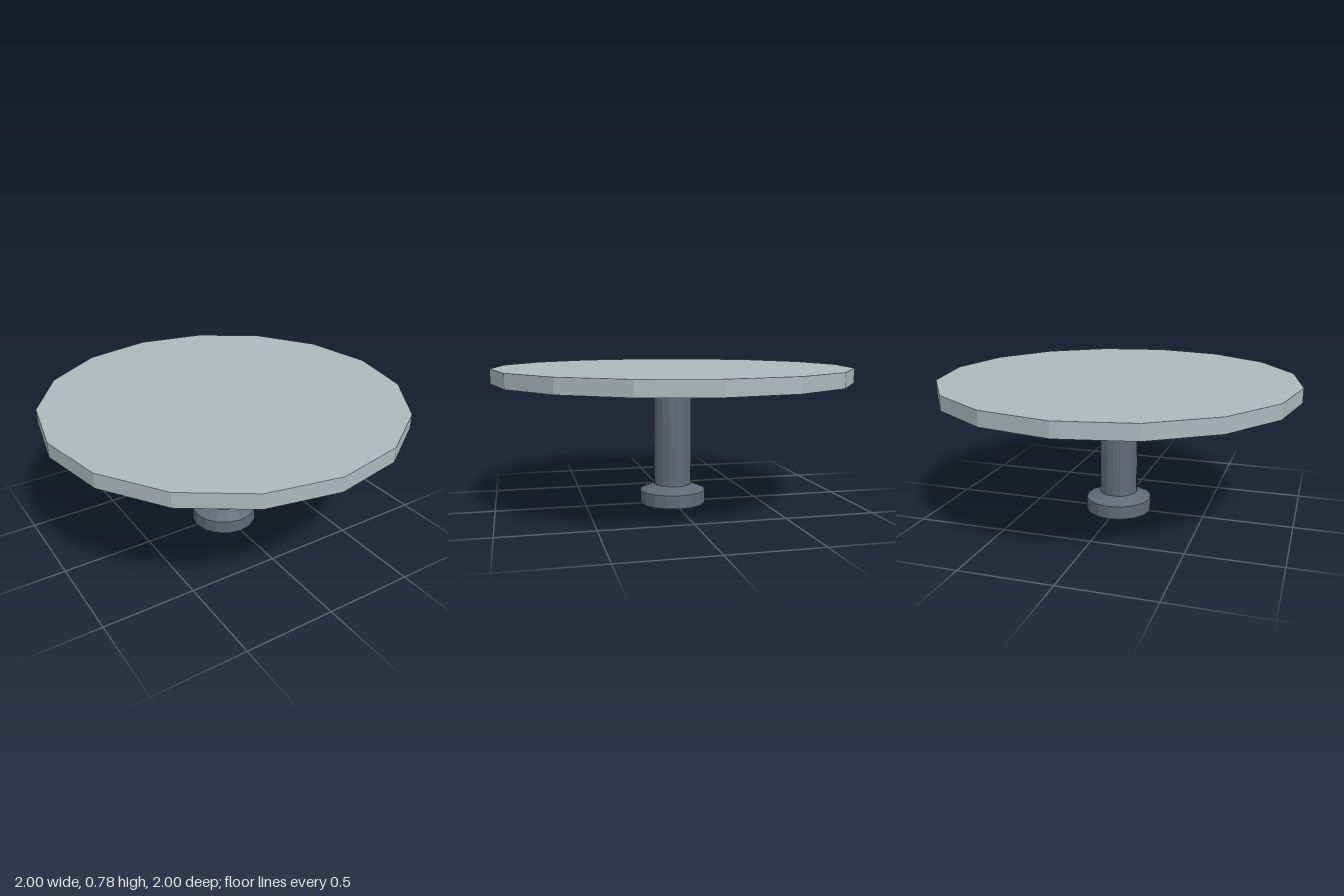
import * as THREE from 'three';

const SIDES = 16;

export function createModel() {
  const model = new THREE.Group();
  model.name = 'pedestalTable';

  const topMaterial = new THREE.MeshStandardMaterial({ color: 0xb0b8bb, flatShading: true });
  topMaterial.name = 'pale grey';
  const metalMaterial = new THREE.MeshStandardMaterial({ color: 0x636876, flatShading: true });
  metalMaterial.name = 'slate grey';

  // One faceted, tapered section between two heights
  const addSection = (name, rBottom, rTop, y0, y1, material, open = false) => {
    const geometry = new THREE.CylinderGeometry(rTop, rBottom, y1 - y0, SIDES, 1, open);
    const mesh = new THREE.Mesh(geometry, material);
    mesh.position.y = (y0 + y1) / 2;
    mesh.name = name;
    model.add(mesh);
  };

  // Round table top
  addSection('tableTop', 1, 1, 0.7, 0.78, topMaterial);

  // Pedestal: foot, sloped shoulder, column and flared collar
  addSection('foot', 0.187, 0.187, 0, 0.075, metalMaterial);
  addSection('footShoulder', 0.187, 0.107, 0.075, 0.108, metalMaterial, true);
  addSection('column', 0.107, 0.107, 0.108, 0.66, metalMaterial, true);
  addSection('collar', 0.107, 0.142, 0.66, 0.7, metalMaterial, true);

  return model;
}
